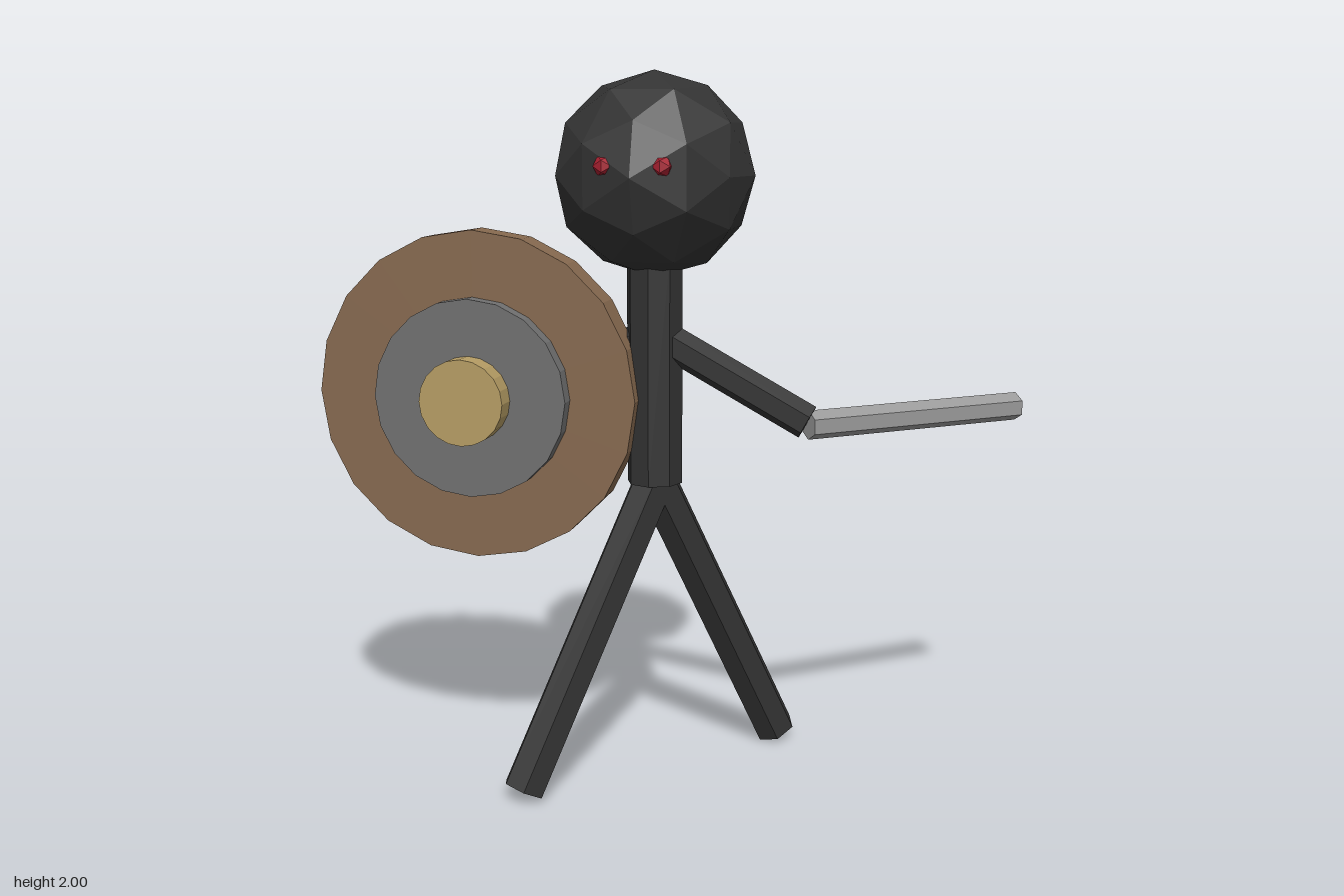
import * as THREE from 'three';

const mat = (color) => {
  const m = new THREE.MeshStandardMaterial({ color });
  m.flatShading = true;
  return m;
};

export function createModel() {
  const group = new THREE.Group();
  const dark = mat(0x333333), red = mat(0xa82030), wood = mat(0x86694f);
  const iron = mat(0x707070), brass = mat(0xb59c64), steel = mat(0x999999);
  const cx = -0.025, cz = 0.045; // body axis

  const add = (name, geometry, material, x, y, z) => {
    const mesh = new THREE.Mesh(geometry, material);
    mesh.name = name;
    mesh.position.set(x, y, z);
    group.add(mesh);
    return mesh;
  };

  // Six-sided rod between two points, with one edge facing up
  const rod = (name, from, to, radius, material) => {
    const a = new THREE.Vector3(...from), b = new THREE.Vector3(...to);
    const geometry = new THREE.CylinderGeometry(radius, radius, a.distanceTo(b), 6).rotateX(Math.PI / 2);
    const mid = a.clone().add(b).multiplyScalar(0.5);
    add(name, geometry, material, mid.x, mid.y, mid.z).lookAt(b);
  };

  // Head, eyes and torso
  add('head', new THREE.IcosahedronGeometry(0.28, 1), dark, cx, 1.72, cz);
  for (const [name, side] of [['leftEye', 1], ['rightEye', -1]]) {
    add(name, new THREE.IcosahedronGeometry(0.03, 0), red, cx + side * 0.078, 1.75, 0.285);
  }
  add('torso', new THREE.CylinderGeometry(0.079, 0.079, 0.64, 8), dark, cx, 1.18, cz);

  // Arms slope outward; legs stride diagonally
  for (const [name, side] of [['left', 1], ['right', -1]]) {
    rod(name + 'Arm', [cx, 1.285, cz], [cx + side * 0.432, 1.05, cz], 0.05, dark);
    rod(name + 'Leg', [cx, 0.87, cz], [cx + side * 0.305, 0.028, cz - side * 0.305], 0.062, dark);
  }

  // Blade held in the left hand
  rod('blade', [0.41, 1.042, cz], [0.958, 1.042, -0.385], 0.041, steel);

  // Round shield as three stacked discs
  const disc = (name, radius, back, front, material) => add(
    name,
    new THREE.CylinderGeometry(radius, radius, front - back, 20).rotateX(Math.PI / 2),
    material, -0.522, 1.103, (back + front) / 2
  );
  disc('shieldBoard', 0.466, 0.055, 0.15, wood);
  disc('shieldPlate', 0.28, 0.145, 0.198, iron);
  disc('shieldBoss', 0.121, 0.19, 0.265, brass);

  return group;
}
